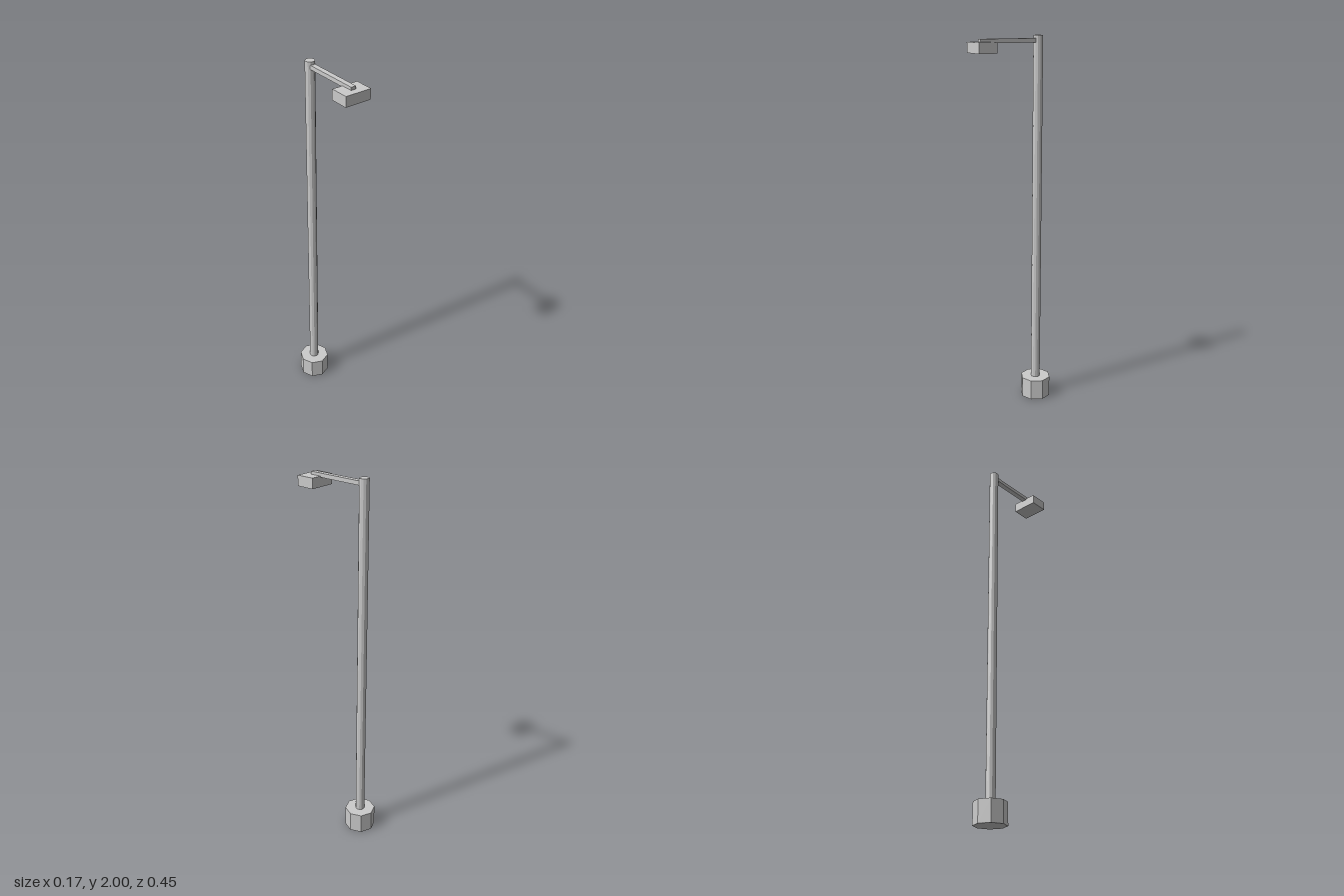
import * as THREE from 'three';

const material = new THREE.MeshStandardMaterial({ color: 0xcccccc, flatShading: true });

export function createModel() {
  const group = new THREE.Group();
  group.name = 'streetLamp';

  const add = (name, geometry, x, y, z) => {
    const mesh = new THREE.Mesh(geometry, material);
    mesh.name = name;
    mesh.position.set(x, y, z);
    group.add(mesh);
  };

  const poleZ = -0.14;

  // Octagonal footing, very slightly tapered
  add('base', new THREE.CylinderGeometry(0.083, 0.084, 0.113, 8), 0, 0.0565, poleZ);

  // Tall slender pole, rising from inside the footing
  add('pole', new THREE.CylinderGeometry(0.025, 0.025, 1.95, 12), 0, 1.025, poleZ);

  // Square arm reaching forward from the pole
  add('arm', new THREE.BoxGeometry(0.027, 0.021, 0.327), 0, 1.974, 0.0235);

  // Lamp head hanging at the end of the arm
  add('lampHead', new THREE.BoxGeometry(0.141, 0.053, 0.098), 0, 1.943, 0.174);

  return group;
}
